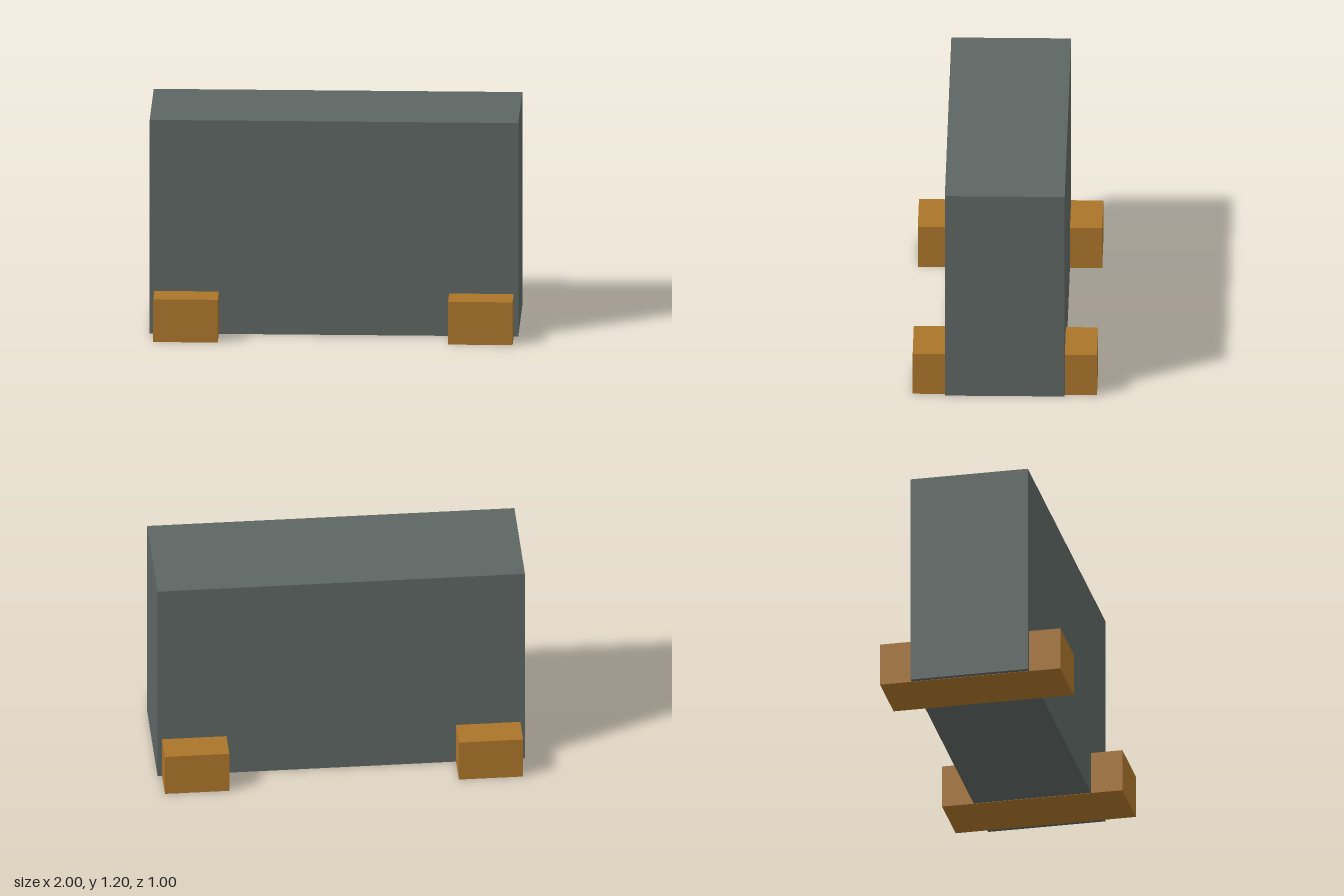
import * as THREE from 'three';

export function createModel() {
  const model = new THREE.Group();
  model.name = 'blockOnFeet';

  const slate = new THREE.MeshStandardMaterial({ color: 0x5d6663 });
  slate.name = 'slate grey';
  const ochre = new THREE.MeshStandardMaterial({ color: 0xab752a });
  ochre.name = 'ochre';

  const addBox = (name, size, position, material) => {
    const mesh = new THREE.Mesh(new THREE.BoxGeometry(...size), material);
    mesh.name = name;
    mesh.position.set(...position);
    model.add(mesh);
  };

  // Upright slab, its underside a hair above the feet so the faces do not clash
  addBox('body', [2, 1.198, 0.65], [0, 0.601, 0], slate);

  // Two foot bars running front to back through the slab
  for (const [name, side] of [['leftFoot', 1], ['rightFoot', -1]]) {
    addBox(name, [0.35, 0.24, 1], [side * 0.8, 0.12, 0], ochre);
  }

  return model;
}
